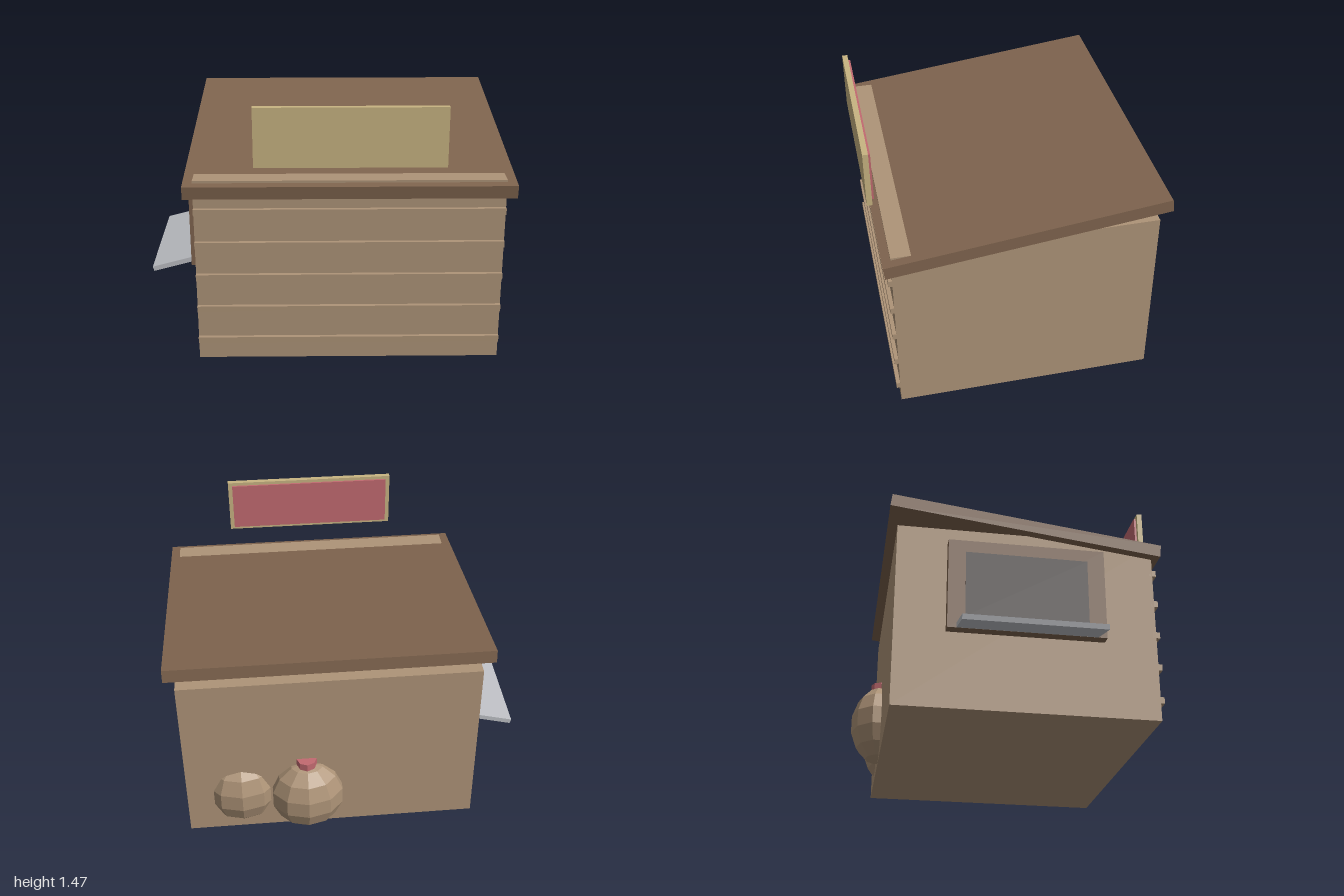
import * as THREE from 'three';

function colour(name, hex) {
  const m = new THREE.MeshStandardMaterial({ color: hex });
  m.name = name;
  return m;
}

export function createModel() {
  const model = new THREE.Group();
  model.name = 'marketHut';

  const clay = colour('sandy plaster', 0xae9478);
  const wood = colour('dark wood', 0x80654f);
  const board = colour('pale yellow board', 0xc8b482);
  const red = colour('faded red', 0xc26a70);
  const metal = colour('light grey', 0xbdbfc4);
  const dark = colour('dark opening', 0x4a4340);

  function add(name, geometry, material, x, y, z) {
    const mesh = new THREE.Mesh(geometry, material);
    mesh.name = name;
    mesh.position.set(x, y, z);
    model.add(mesh);
    return mesh;
  }
  const box = (name, material, w, h, d, x, y, z) =>
    add(name, new THREE.BoxGeometry(w, h, d), material, x, y, z);

  // Walls, with horizontal slats across the front
  const midX = 0.119;
  box('walls', clay, 1.66, 1.05, 1.427, midX, 0.525, 0.047);
  for (let i = 0; i < 5; i++) {
    box('frontSlat', clay, 1.66, 0.036, 0.04, midX, 0.117 + i * 0.19, 0.762);
  }

  // Sloping roof slab, lower at the front
  box('roof', wood, 1.763, 0.072, 1.522, midX, 1.087, 0.047).rotation.x = 0.12;

  // Sign board floating above the front edge, with a red panel behind
  box('signBoard', board, 1.005, 0.323, 0.03, midX, 1.308, 0.817);
  box('signPanel', red, 0.955, 0.285, 0.012, midX, 1.308, 0.796);

  // Serving hatch on the right wall: frame, dark opening and sloping counter
  box('hatchFrame', wood, 0.06, 0.525, 0.86, -0.739, 0.692, 0.04);
  box('hatchOpening', dark, 0.006, 0.385, 0.67, -0.768, 0.692, 0.04);
  box('hatchCounter', metal, 0.265, 0.028, 0.76, -0.868, 0.418, 0.04).rotation.z = 0.26;

  // Faceted jars partly sunk into the back wall
  const jar = new THREE.SphereGeometry(1, 10, 7)
    .rotateY(Math.PI / 2).scale(0.215, 0.23, 0.17).toNonIndexed();
  jar.computeVertexNormals();
  add('largeJar', jar, clay, 0.26, 0.24, -0.665);
  add('smallJar', jar, clay, 0.634, 0.24, -0.575);

  // Red stopper on the large jar
  const stopper = new THREE.CylinderGeometry(0.057, 0.057, 0.05, 8).toNonIndexed();
  stopper.computeVertexNormals();
  add('jarStopper', stopper, red, 0.26, 0.473, -0.667);

  return model;
}
